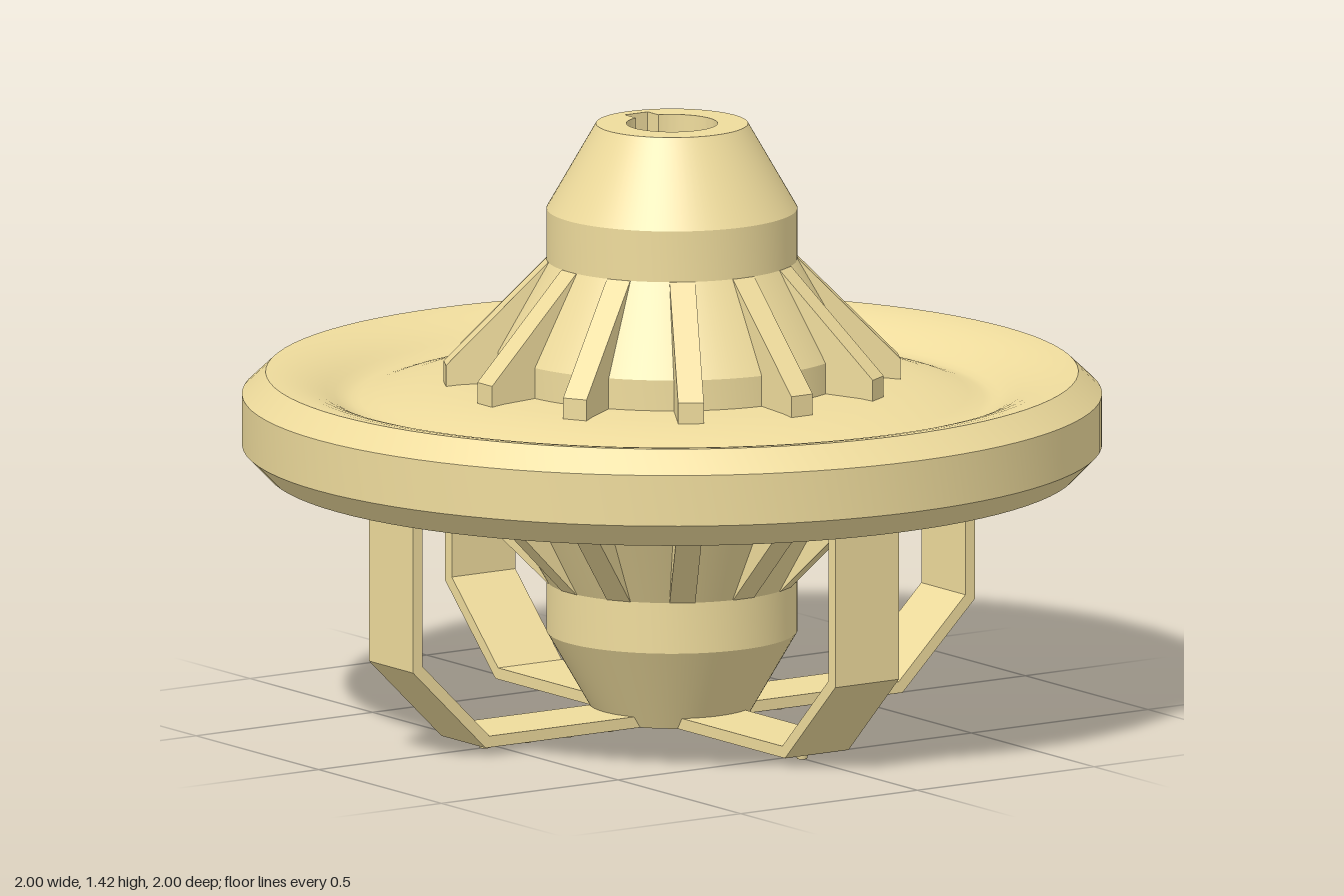
import * as THREE from 'three';
import { toCreasedNormals } from 'three/addons/utils/BufferGeometryUtils.js';

const MID = 0.72; // height of the symmetry plane of hub and ribs

export function createModel() {
  const group = new THREE.Group();
  const material = new THREE.MeshStandardMaterial({ color: 0xeedb9c });

  const add = (name, geometry, parent = group) => {
    const mesh = new THREE.Mesh(geometry, material);
    mesh.name = name;
    parent.add(mesh);
    return mesh;
  };
  const shapeOf = (pts) => new THREE.Shape(pts.map(([x, y]) => new THREE.Vector2(x, y)));
  // plate in the XY plane, centred on z = 0
  const plate = (pts, width) => {
    const g = new THREE.ExtrudeGeometry(shapeOf(pts), { depth: width, bevelEnabled: false });
    return g.translate(0, 0, -width / 2);
  };

  // Hub and dished wheel, turned from one profile
  const lowerHub = [[0.177, 0.02], [0.292, 0.22], [0.292, 0.34], [0.41, 0.55]];
  const upperHub = lowerHub.map(([r, y]) => [r, 2 * MID - y]).reverse();
  const dish = [
    [0.945, 0.832], [0.92, 0.83], [0.89, 0.825], [0.86, 0.817], [0.83, 0.806],
    [0.805, 0.794], [0.785, 0.783], [0.765, 0.773], [0.745, 0.768], [0.725, 0.769],
    [0.69, 0.78], [0.64, 0.793], [0.58, 0.805], [0.5, 0.814], [0.41, 0.818],
  ];
  const profile = [
    ...lowerHub, [0.41, 0.603],
    [0.945, 0.603], [1, 0.66], [1, 0.78],
    ...dish, ...upperHub,
  ].map(([r, y]) => new THREE.Vector2(r, y));
  add('hubAndWheel', toCreasedNormals(new THREE.LatheGeometry(profile, 96), 0.35));

  // Keyed bore sleeve, which also closes the hub ends
  const R = 0.106, key = 0.032, keyDepth = 0.145;
  const a = Math.asin(key / R);
  const ring = new THREE.Shape().absarc(0, 0, 0.177, 0, Math.PI * 2);
  const bore = new THREE.Path();
  bore.absarc(0, 0, R, Math.PI / 2 + a, Math.PI * 2.5 - a, false);
  bore.lineTo(key, keyDepth);
  bore.lineTo(-key, keyDepth);
  bore.closePath();
  ring.holes.push(bore);
  const sleeve = new THREE.ExtrudeGeometry(ring, { depth: 1.4, bevelEnabled: false, curveSegments: 48 });
  sleeve.rotateX(-Math.PI / 2).translate(0, 0.02, 0);
  add('boreSleeve', toCreasedNormals(sleeve, 0.4));

  // Twelve ribs above and twelve below the wheel
  const rib = [[0.27, 1.1], [0.292, 1.1], [0.53, 0.86], [0.53, 0.78], [0.27, 0.78]];
  const upperRib = plate(rib, 0.06);
  const lowerRib = plate(rib.map(([x, y]) => [x, 2 * MID - y]), 0.06);
  for (let i = 0; i < 12; i++) {
    const angle = (i * Math.PI) / 6;
    add('upperRib', upperRib).rotation.y = angle;
    add('lowerRib', lowerRib).rotation.y = angle;
  }

  // Four strap legs with flared tops and a row of studs underneath
  const strap = plate([
    [0.15, 0.02], [0.59, 0.02], [0.795, 0.22], [0.795, 0.585], [0.81, 0.61],
    [0.735, 0.61], [0.75, 0.602], [0.762, 0.595], [0.768, 0.58],
    [0.768, 0.232], [0.579, 0.047], [0.15, 0.047],
  ], 0.18);
  const stud = new THREE.CylinderGeometry(0.017, 0.012, 0.025, 16);
  for (let i = 0; i < 4; i++) {
    const leg = new THREE.Group();
    leg.name = 'leg';
    leg.rotation.y = (i * Math.PI) / 2;
    add('strap', strap, leg);
    for (const x of [0.18, 0.297, 0.413, 0.53]) {
      add('stud', stud, leg).position.set(x, 0.0125, 0);
    }
    group.add(leg);
  }
  return group;
}
